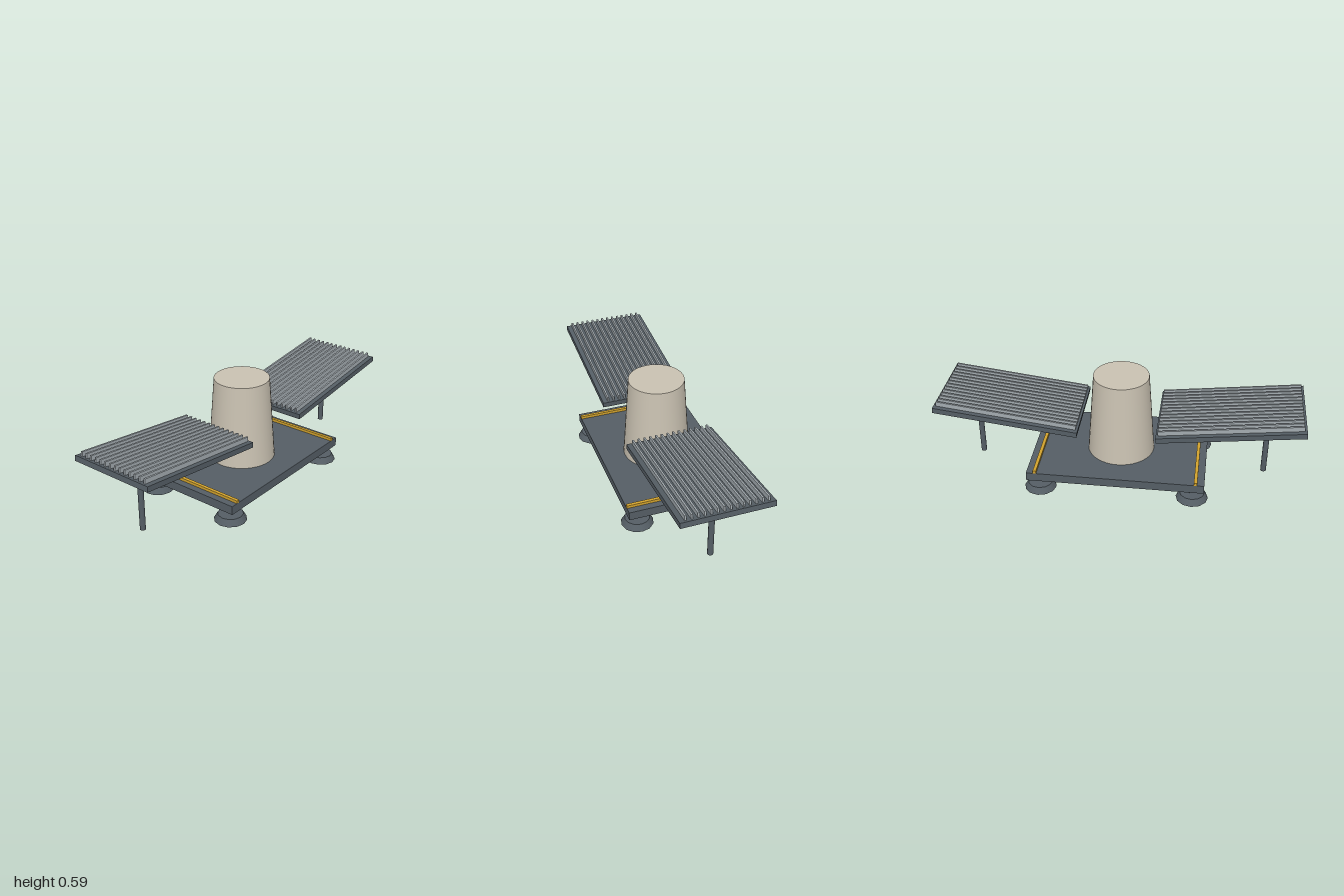
import * as THREE from 'three';

const material = (name, color) => {
  const m = new THREE.MeshStandardMaterial({ color });
  m.name = name;
  return m;
};

export function createModel() {
  const grey = material('steel grey', 0x555e65);
  const silver = material('light metal', 0xa3abb0);
  const beige = material('stone beige', 0xcac2b2);
  const yellow = material('rail yellow', 0xd2a32e);

  const model = new THREE.Group();
  model.name = 'platformStation';
  const add = (parent, name, geometry, mat, x = 0, y = 0, z = 0) => {
    const mesh = new THREE.Mesh(geometry, mat);
    mesh.name = name;
    mesh.position.set(x, y, z);
    parent.add(mesh);
    return mesh;
  };

  // Deck and central tower
  add(model, 'deck', new THREE.BoxGeometry(0.97, 0.049, 0.642), grey, 0, 0.1025, 0);
  add(model, 'tower', new THREE.CylinderGeometry(0.153, 0.186, 0.465, 40), beige, 0, 0.3595, 0);

  const up = new THREE.Vector3(0, 1, 0);
  for (const side of [-1, 1]) {
    // Yellow rail along each end of the deck
    add(model, 'rail', new THREE.BoxGeometry(0.018, 0.016, 0.642), yellow, side * 0.438, 0.135, 0);

    // Tilted wing with raised slats
    const wing = new THREE.Group();
    wing.name = side > 0 ? 'leftWing' : 'rightWing';
    wing.position.set(side * 0.605, 0.391, 0);
    wing.rotation.z = side * 0.122;
    model.add(wing);
    add(wing, 'wingPanel', new THREE.BoxGeometry(0.792, 0.03, 0.484), grey);
    for (let i = 0; i < 14; i++) {
      add(wing, 'slat', new THREE.BoxGeometry(0.768, 0.026, 0.01), silver, 0, 0.028, (i - 6.5) * 0.0323);
    }

    // Post below the wing
    add(model, 'post', new THREE.CylinderGeometry(0.0157, 0.0157, 0.355, 12), grey, side * 0.808, 0.2075, 0);

    // Splayed struts and foot pads at the corners
    for (const end of [-1, 1]) {
      add(model, 'footPad', new THREE.CylinderGeometry(0.068, 0.088, 0.035, 12), grey,
        side * 0.42, 0.0175, end * 0.257);
      const from = new THREE.Vector3(side * 0.42, 0.05, end * 0.257);
      const to = new THREE.Vector3(side * 0.325, 0.092, end * 0.201);
      const dir = to.clone().sub(from);
      const mid = from.clone().add(to).multiplyScalar(0.5);
      const strut = add(model, 'strut', new THREE.CylinderGeometry(0.026, 0.026, dir.length(), 8), grey,
        mid.x, mid.y, mid.z);
      strut.quaternion.setFromUnitVectors(up, dir.normalize());
    }
  }
  return model;
}
